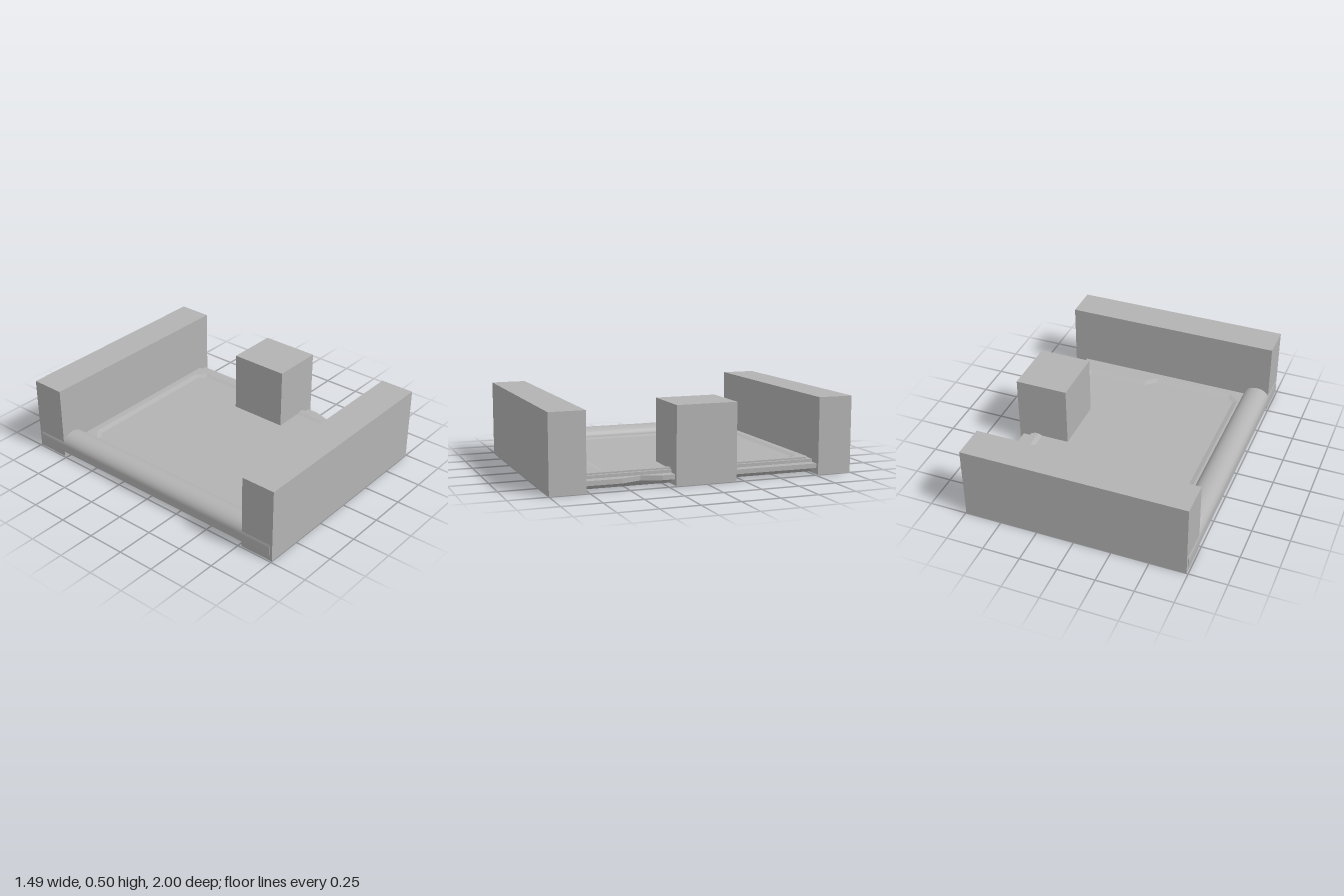
import * as THREE from 'three';
import { toCreasedNormals } from 'three/addons/utils/BufferGeometryUtils.js';

export function createModel() {
  const group = new THREE.Group();
  const grey = new THREE.MeshStandardMaterial({ color: 0xb3b3b3 });
  grey.name = 'plain grey';

  const add = (name, geometry) => {
    const mesh = new THREE.Mesh(geometry, grey);
    mesh.name = name;
    group.add(mesh);
    return mesh;
  };
  const block = (name, x0, x1, z0, z1, height) => {
    const g = new THREE.BoxGeometry(x1 - x0, height, z1 - z0);
    add(name, g.translate((x0 + x1) / 2, height / 2, (z0 + z1) / 2));
  };
  const toShape = (pts) => new THREE.Shape(pts.map(([x, y]) => new THREE.Vector2(x, y)));
  // flat plate from an outline in x and z
  const plate = (name, shape, top, thickness) => {
    const g = new THREE.ExtrudeGeometry(shape, { depth: thickness, bevelEnabled: false });
    add(name, g.rotateX(Math.PI / 2).translate(0, top, 0));
  };

  // padding blocks
  block('frontBlock', -0.74, 0.745, 0.77, 1, 0.5);
  block('backBlock', -0.74, 0.745, -1, -0.77, 0.5);
  block('sideBlock', 0.39, 0.745, -0.2, 0.2, 0.5);

  // main body: one cross-section with a rounded roll along the left edge
  const profile = [[-0.7, 0.004], [0.64, 0.004], [0.68, 0.04], [0.66, 0.045], [0.66, 0.09], [-0.565, 0.09]];
  const steps = 16;
  for (let i = 1; i <= steps; i++) {
    const a = (Math.PI * i) / steps;
    profile.push([-0.655 + 0.09 * Math.cos(a), 0.09 + 0.07 * Math.sin(a)]);
  }
  profile.push([-0.745, 0.04]);
  const body = new THREE.ExtrudeGeometry(toShape(profile), { depth: 1.96, bevelEnabled: false });
  add('body', toCreasedNormals(body.translate(0, 0, -0.98), 0.5));

  // thin lip on the right edge with a V notch
  plate('rightLip', toShape([
    [0.64, -0.98], [0.72, -0.98], [0.72, 0.28], [0.68, 0.41], [0.72, 0.54], [0.72, 0.98], [0.64, 0.98],
  ]), 0.07, 0.03);

  // raised border around a shallow recessed panel
  const outer = [
    [-0.55, -0.65], [-0.48, -0.715], [0.54, -0.715], [0.61, -0.65], [0.61, 0.6],
    [0.57, 0.64], [0.15, 0.64], [0.08, 0.71], [-0.48, 0.71], [-0.55, 0.65],
  ];
  const inner = [
    [-0.52, -0.635], [-0.475, -0.68], [0.53, -0.68], [0.58, -0.635], [0.58, 0.58],
    [0.555, 0.605], [0.135, 0.605], [0.065, 0.67], [-0.475, 0.67], [-0.52, 0.63],
  ];
  const border = toShape([
    [-0.565, -0.755], [0.62, -0.755], [0.64, -0.735], [0.64, 0.735], [0.62, 0.755], [-0.565, 0.755],
  ]);
  border.holes.push(new THREE.Path(outer.map(([x, z]) => new THREE.Vector2(x, z))));
  plate('panelBorder', border, 0.1, 0.01);

  // sloped band from the border down to the panel
  const band = [];
  outer.forEach((p, i) => {
    const j = (i + 1) % outer.length;
    const a = [p[0], 0.1, p[1]];
    const b = [outer[j][0], 0.1, outer[j][1]];
    const c = [inner[j][0], 0.0905, inner[j][1]];
    const d = [inner[i][0], 0.0905, inner[i][1]];
    band.push(...a, ...c, ...b, ...a, ...d, ...c);
  });
  const bandGeometry = new THREE.BufferGeometry();
  bandGeometry.setAttribute('position', new THREE.Float32BufferAttribute(band, 3));
  bandGeometry.computeVertexNormals();
  add('panelSlope', bandGeometry);

  // wavy grip ridges underneath, pinched together in the middle
  const ridges = 9;
  const half = 0.004;
  for (let i = 0; i < ridges; i++) {
    const u = i / (ridges - 1);
    const left = [];
    const right = [];
    for (let k = 0; k <= 40; k++) {
      const z = -0.73 + (1.46 * k) / 40;
      const pinch = 1 - THREE.MathUtils.smoothstep(Math.abs(z), 0.12, 0.6);
      const x = 0.04 + u * (0.57 - 0.35 * pinch);
      left.push([x - half, z]);
      right.unshift([x + half, z]);
    }
    plate('gripRidge' + (i + 1), toShape([...left, ...right]), 0.006, 0.006);
  }

  return group;
}
